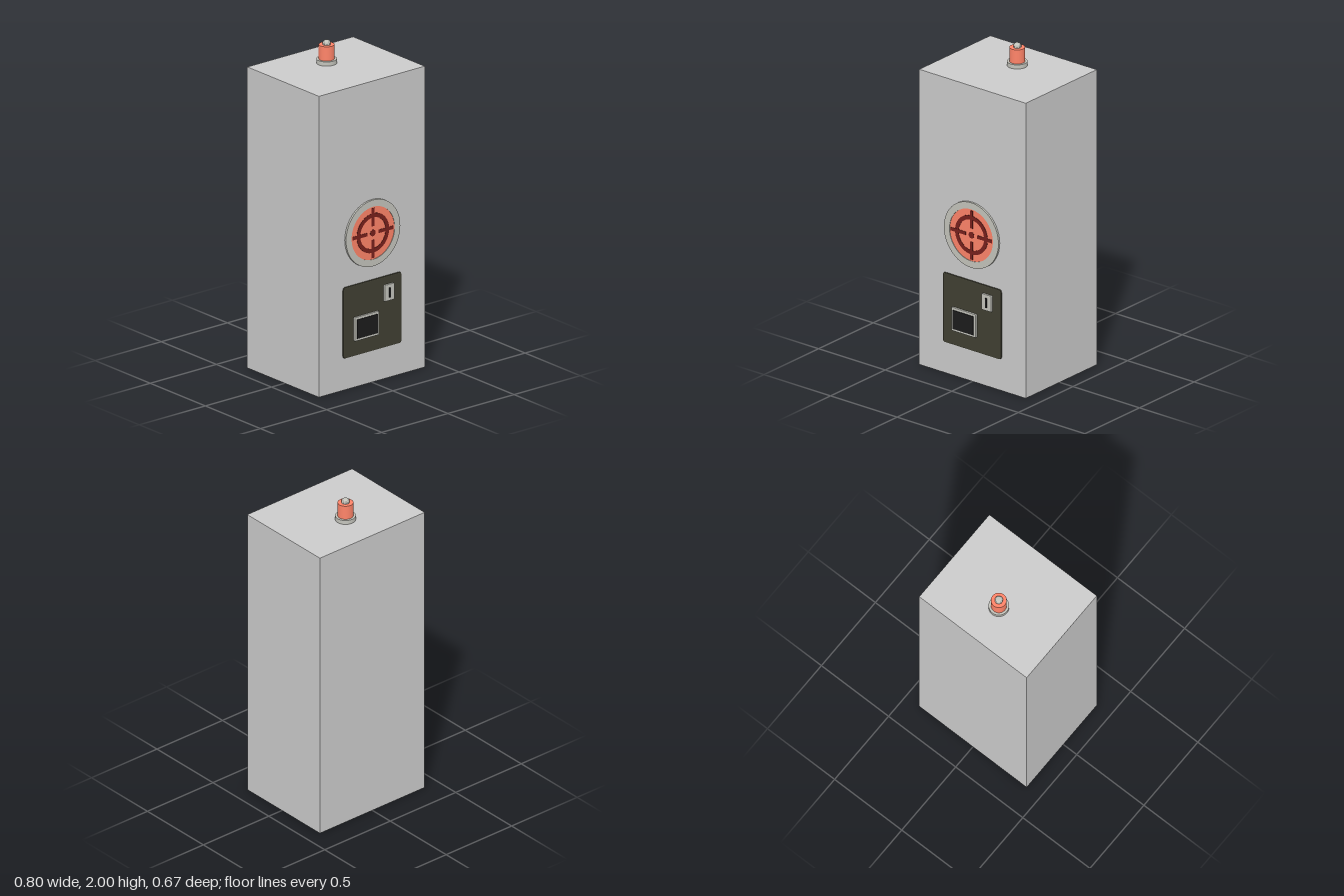
import * as THREE from 'three';

const paint = (color) => new THREE.MeshStandardMaterial({ color });

export function createModel() {
  const model = new THREE.Group();
  const grey = paint(0xcccccc), trim = paint(0xc4c4bc), red = paint(0xff8469);
  const darkRed = paint(0x78201c), olive = paint(0x403f32), black = paint(0x1c1c1c);
  const FRONT = 0.31;

  const add = (name, geometry, material, x, y, z, parent = model) => {
    const mesh = new THREE.Mesh(geometry, material);
    mesh.name = name;
    mesh.position.set(x, y, z);
    parent.add(mesh);
    return mesh;
  };
  const box = (w, h, d) => new THREE.BoxGeometry(w, h, d);
  const disc = (r, d, n = 48) => new THREE.CylinderGeometry(r, r, d, n).rotateX(Math.PI / 2);
  // Flat annulus with thickness, its back at z = 0
  const annulus = (outer, inner, depth) => {
    const s = new THREE.Shape().absarc(0, 0, outer, 0, Math.PI * 2);
    s.holes.push(new THREE.Path().absarc(0, 0, inner, 0, Math.PI * 2, true));
    return new THREE.ExtrudeGeometry(s, { depth, bevelEnabled: false, curveSegments: 24 });
  };
  // Rounded plate with a bevelled front edge, its back at z = 0
  const plate = (w, h, depth, r, bevel) => {
    const a = w / 2 - bevel, b = h / 2 - bevel, s = new THREE.Shape();
    s.moveTo(-a + r, -b).lineTo(a - r, -b).quadraticCurveTo(a, -b, a, -b + r);
    s.lineTo(a, b - r).quadraticCurveTo(a, b, a - r, b);
    s.lineTo(-a + r, b).quadraticCurveTo(-a, b, -a, b - r);
    s.lineTo(-a, -b + r).quadraticCurveTo(-a, -b, -a + r, -b);
    return new THREE.ExtrudeGeometry(s, {
      depth: depth - bevel, bevelThickness: bevel, bevelSize: bevel, bevelSegments: 2, curveSegments: 4,
    });
  };

  // Cabinet
  add('cabinet', box(0.8, 1.86, 0.65), grey, 0, 0.93, -0.015);

  // Round target sign
  const sign = new THREE.Group();
  sign.name = 'targetSign';
  sign.position.set(0, 0.925, FRONT);
  model.add(sign);
  add('signRim', annulus(0.205, 0.163, 0.012), trim, 0, 0, 0, sign);
  add('signFace', disc(0.164, 0.009), red, 0, 0, 0.0045, sign);
  add('targetRing', annulus(0.122, 0.096, 0.002), darkRed, 0, 0, 0.009, sign);
  add('targetDot', disc(0.02, 0.002, 24), darkRed, 0, 0, 0.01, sign);
  for (let i = 0; i < 4; i++) {
    const a = i * Math.PI / 2;
    const tick = add('targetTick', box(0.112, 0.021, 0.0024), darkRed,
      Math.cos(a) * 0.098, Math.sin(a) * 0.098, 0.0102, sign);
    tick.rotation.z = a;
  }

  // Control panel with screen and slot
  add('controlPanel', plate(0.44, 0.44, 0.008, 0.012, 0.006), olive, 0, 0.415, FRONT);
  add('screenFrame', plate(0.185, 0.148, 0.012, 0.004, 0.004), trim, -0.052, 0.363, FRONT + 0.008);
  add('screen', box(0.154, 0.118, 0.008), black, -0.052, 0.363, 0.33);
  add('slotPlate', plate(0.075, 0.102, 0.012, 0.004, 0.004), trim, 0.119, 0.533, FRONT + 0.008);
  add('slot', box(0.011, 0.06, 0.01), black, 0.119, 0.533, 0.33);

  // Warning light on the roof
  add('lightBase', new THREE.CylinderGeometry(0.06, 0.06, 0.026, 32), trim, 0, 1.873, -0.1);
  add('lightBody', new THREE.CylinderGeometry(0.046, 0.046, 0.088, 32), red, 0, 1.93, -0.1);
  const knob = paint(0xc4c4bc);
  knob.flatShading = true;
  add('lightKnob', new THREE.LatheGeometry([
    [0.024, 0], [0.024, 0.012], [0.021, 0.02], [0.013, 0.026], [0, 0.027],
  ].map(([r, y]) => new THREE.Vector2(r, y)), 10), knob, 0, 1.973, -0.1);

  return model;
}
